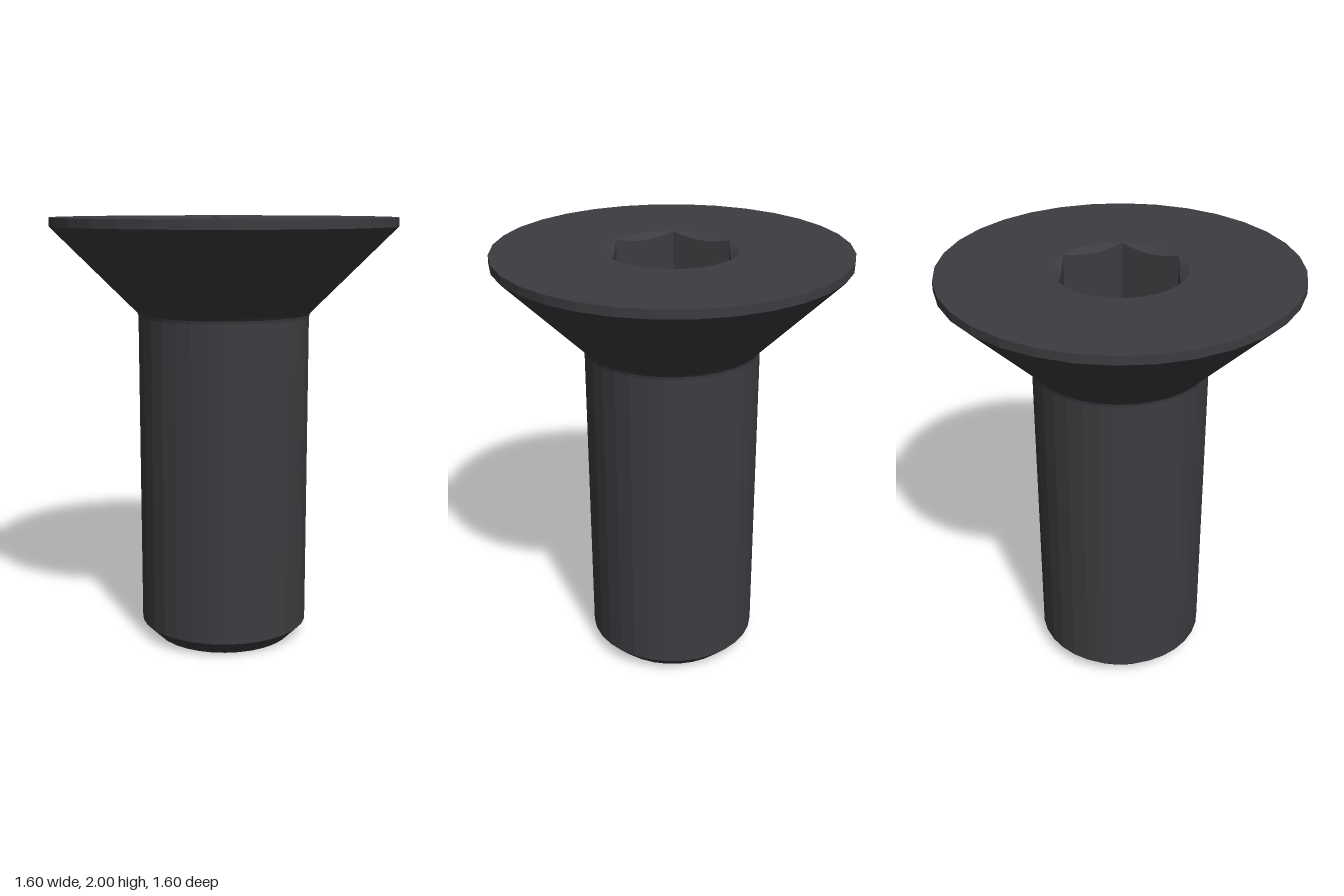
import * as THREE from 'three';

const HEAD_R = 0.8, SHAFT_R = 0.4, SOCKET_R = 0.295, TOP = 2, SOCKET_FLOOR = 1.7;
const SIDES = 32, SOCKET_SIDES = 48;

const material = new THREE.MeshStandardMaterial({ color: 0x3b3d40, flatShading: true });

function addMesh(group, name, geometry) {
  const flat = geometry.index ? geometry.toNonIndexed() : geometry;
  flat.computeVertexNormals();
  const mesh = new THREE.Mesh(flat, material);
  mesh.name = name;
  group.add(mesh);
}

function lathe(profile, sides) {
  return new THREE.LatheGeometry(profile.map(([r, y]) => new THREE.Vector2(r, y)), sides);
}

// Points of a regular polygon, first corner on +x
function ring(radius, sides) {
  return Array.from({ length: sides }, (_, i) => {
    const a = (i / sides) * Math.PI * 2;
    return new THREE.Vector2(radius * Math.cos(a), radius * Math.sin(a));
  });
}

// Distance from the axis to the hexagon wall in direction (x, z)
function hexRadius(x, z) {
  const sector = Math.PI / 3;
  const a = Math.atan2(z, x) + Math.PI * 2;
  const fromFlat = (a % sector) - sector / 2;
  return SOCKET_R * Math.cos(sector / 2) / Math.cos(fromFlat);
}

// Round recess reshaped into a hexagon, with a conical lead-in at the mouth
function socketGeometry() {
  const geometry = lathe([
    [SOCKET_R, TOP], [SOCKET_R, TOP - 0.01], [SOCKET_R, SOCKET_FLOOR], [0, SOCKET_FLOOR],
  ], SOCKET_SIDES);
  const p = geometry.attributes.position;
  for (let i = 0; i < p.count; i++) {
    const row = i % 4;
    if (row !== 1 && row !== 2) continue;
    const x = p.getX(i), z = p.getZ(i);
    const r = hexRadius(x, z), k = r / SOCKET_R;
    const y = row === 1 ? TOP - (SOCKET_R - r) * Math.tan(Math.PI / 6) : SOCKET_FLOOR;
    p.setXYZ(i, x * k, y, z * k);
  }
  return geometry;
}

export function createModel() {
  const screw = new THREE.Group();
  screw.name = 'countersunkScrew';

  // Shaft with chamfered tip and a small blend at the neck
  addMesh(screw, 'shaft', lathe([
    [0, 0], [SHAFT_R - 0.07, 0], [SHAFT_R, 0.07], [SHAFT_R, 1.545], [0.403, 1.56], [0.411, 1.571],
  ], SIDES));

  // Conical head with a thin straight rim
  addMesh(screw, 'head', lathe([[0.411, 1.571], [HEAD_R, 1.96], [HEAD_R, TOP]], SIDES));

  // Flat top face around the socket
  const face = new THREE.Shape(ring(HEAD_R, SIDES));
  face.holes.push(new THREE.Path(ring(SOCKET_R, SOCKET_SIDES)));
  const faceGeometry = new THREE.ShapeGeometry(face);
  faceGeometry.rotateX(-Math.PI / 2).translate(0, TOP, 0);
  addMesh(screw, 'headTop', faceGeometry);

  addMesh(screw, 'hexSocket', socketGeometry());
  return screw;
}
